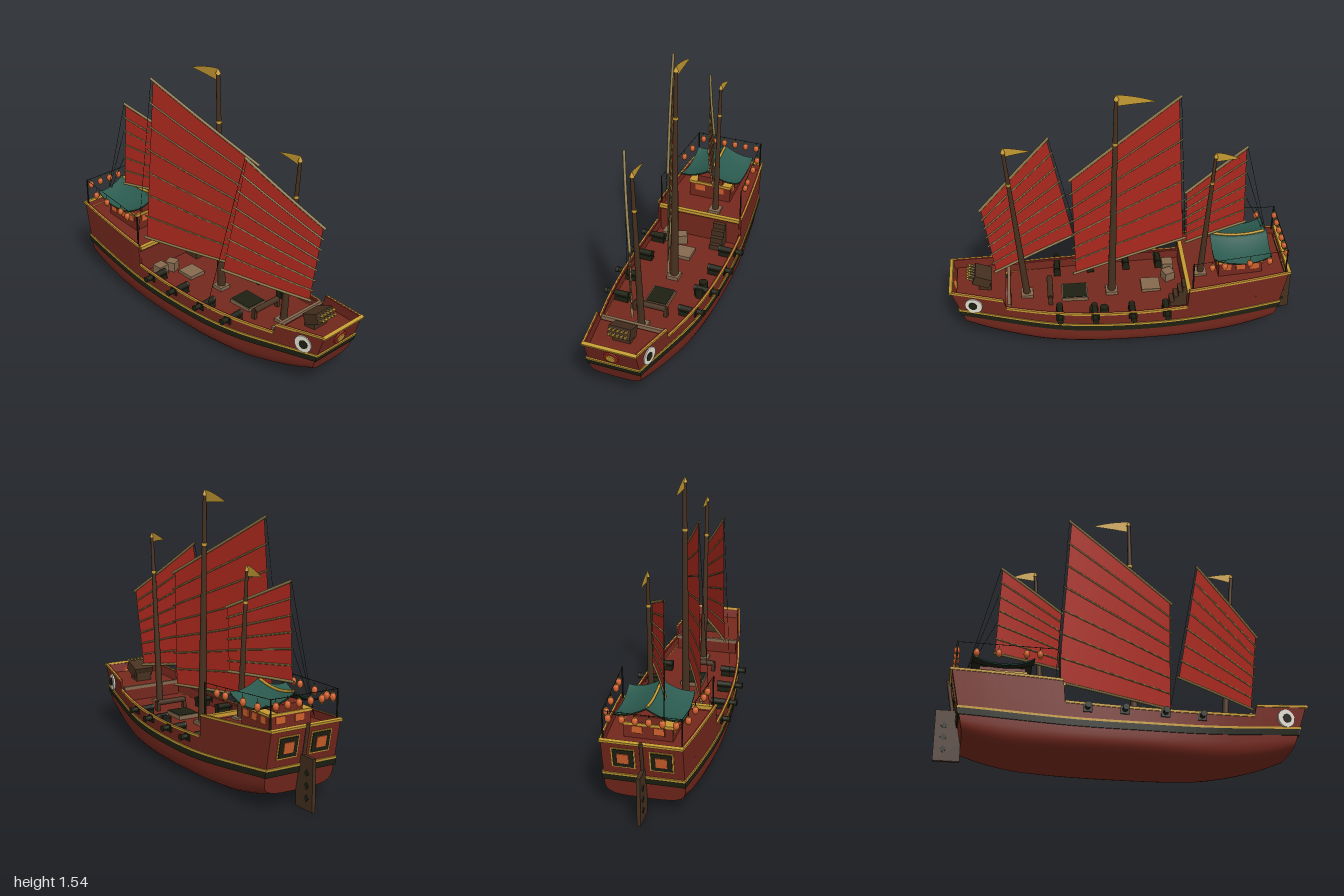
import * as THREE from 'three';

const mat = (name, color) => {
  const m = new THREE.MeshStandardMaterial({ color, side: THREE.DoubleSide });
  m.name = name;
  return m;
};
const M = {
  hull: mat('hullRed', 0x74281d), sail: mat('sailRed', 0xaa281d), gold: mat('gold', 0xc59a32),
  dark: mat('blackPaint', 0x1e2012), wood: mat('darkWood', 0x46301f), teal: mat('tealTile', 0x2b5a4f),
  lamp: mat('lanternOrange', 0xd0602c), cane: mat('bamboo', 0x857446), white: mat('white', 0xe2ded0),
  tan: mat('paleWood', 0x85694f),
};
const V = (x, y, z) => new THREE.Vector3(x, y, z);

// Smooth curve through [x, y] knots
function curve(k) {
  const slope = i => {
    const a = k[Math.max(i - 1, 0)], b = k[Math.min(i + 1, k.length - 1)];
    return (b[1] - a[1]) / (b[0] - a[0]);
  };
  return x => {
    let i = 0;
    while (i < k.length - 2 && x > k[i + 1][0]) i++;
    const h = k[i + 1][0] - k[i][0], t = (x - k[i][0]) / h, s = 1 - t;
    return k[i][1] * (1 + 2 * t) * s * s + slope(i) * h * t * s * s
      + k[i + 1][1] * t * t * (3 - 2 * t) - slope(i + 1) * h * t * t * s;
  };
}
// Hull lines, u = -1 stern to 1 bow
const width = curve([[-1, .213], [-.8, .235], [-.42, .264], [-.1, .272], [.2, .265], [.47, .24], [.71, .2], [.9, .165], [1, .147]]);
const keel = curve([[-1, .08], [-.85, .04], [-.63, .01], [0, 0], [.5, .004], [.7, .03], [.88, .075], [1, .125]]);
const hip = curve([[-1, .185], [-.4, .14], [0, .133], [.45, .145], [1, .205]]);
const sheer = curve([[-1, .3], [-.385, .262], [0, .248], [.35, .252], [.71, .275], [1, .305]]);
const poopTop = u => .382 + (-.385 - u) * .075;
const foreTop = u => .333 + (u - .71) * .12;
const xAt = (u, y) => u > 0 ? u * (.905 + .33 * (y - .12)) : u * (.86 + .2 * (y - .08));
function hullPoint(u, y, off = 0, side = 1) {
  const s = THREE.MathUtils.clamp((y - keel(u)) / (hip(u) - keel(u)), 0, 1);
  return V(xAt(u, y), y, side * (width(u) * (1 - (1 - s) ** 4) ** .25 + off));
}

// Surface over a grid of points
function grid(nu, nv, fn, flat = false) {
  const p = [], idx = [];
  for (let i = 0; i <= nu; i++) for (let j = 0; j <= nv; j++) p.push(...fn(i, j).toArray());
  for (let i = 0; i < nu; i++) for (let j = 0; j < nv; j++) {
    const a = i * (nv + 1) + j, b = a + nv + 1;
    idx.push(a, b, a + 1, b, b + 1, a + 1);
  }
  let g = new THREE.BufferGeometry();
  g.setAttribute('position', new THREE.Float32BufferAttribute(p, 3));
  g.setIndex(idx);
  if (flat) g = g.toNonIndexed();
  g.computeVertexNormals();
  return g;
}

export function createModel() {
  const root = new THREE.Group();
  root.name = 'sailingJunk';
  const add = (name, geo, m, pos = [0, 0, 0], rot = [0, 0, 0], parent = root) => {
    const o = new THREE.Mesh(geo, m);
    o.name = name;
    o.position.set(...pos);
    o.rotation.set(...rot);
    parent.add(o);
    return o;
  };
  const box = (name, size, m, pos, rot, parent) => add(name, new THREE.BoxGeometry(...size), m, pos, rot, parent);
  const cyl = (name, r1, r2, h, m, pos, rot, parent, n = 12) => add(name, new THREE.CylinderGeometry(r1, r2, h, n), m, pos, rot, parent);
  const beam = (name, a, b, ra, rb, m, n = 8) => {
    const o = cyl(name, rb, ra, a.distanceTo(b), m, a.clone().lerp(b, .5).toArray(), undefined, root, n);
    o.quaternion.setFromUnitVectors(V(0, 1, 0), b.clone().sub(a).normalize());
  };
  // Rectangular strake following both hull sides
  const belt = (name, u0, u1, lo, hi, inner, outer, m) => {
    const n = Math.ceil((u1 - u0) * 24);
    for (const side of [1, -1]) add(name, grid(n + 2, 4, (i, j) => {
      const u = u0 + (u1 - u0) * THREE.MathUtils.clamp(i - 1, 0, n) / n;
      if (i === 0 || i === n + 2) return hullPoint(u, (lo(u) + hi(u)) / 2, (inner + outer) / 2, side);
      const k = j % 4;
      return hullPoint(u, k === 1 || k === 2 ? hi(u) : lo(u), k < 2 ? outer : inner, side);
    }, true), m);
  };

  // Hull shell, end transoms and decks
  add('hull', grid(56, 28, (i, j) => {
    const u = i / 28 - 1, k = Math.abs(j - 14), side = j < 14 ? -1 : 1;
    const y = k <= 10 ? keel(u) + (hip(u) - keel(u)) * (k / 10) ** 3 : hip(u) + (sheer(u) - hip(u)) * (k - 10) / 4;
    return hullPoint(u, y, 0, side);
  }), M.hull);
  for (const [name, u, top] of [['sternTransom', -1, poopTop(-1)], ['bowTransom', 1, foreTop(1)]])
    add(name, grid(16, 1, (i, j) => hullPoint(u, keel(u) + (top - keel(u)) * (i / 16) ** 2, 0, j ? 1 : -1)), M.hull);
  const deck = (name, u0, u1, fy) => add(name, grid(24, 1, (i, j) => {
    const u = u0 + (u1 - u0) * i / 24;
    return hullPoint(u, fy(u), -.004, j ? 1 : -1);
  }), M.hull);
  deck('mainDeck', -.4, .72, u => sheer(u) - .06);
  deck('poopDeck', -.99, -.385, u => poopTop(u) - .03);
  deck('foreDeck', .71, .99, u => foreTop(u) - .045);
  box('poopBulkhead', [.012, .17, .5], M.hull, [-.361, .285, 0]);
  box('poopEdgeBeam', [.025, .02, .51], M.gold, [-.355, .372, 0]);
  box('foreBulkhead', [.012, .09, .37], M.hull, [.662, .25, 0]);
  box('foreEdgeBeam', [.018, .02, .38], M.tan, [.664, .293, 0]);

  // Bulwarks, thin gold rails and painted stripes
  const plus = (f, d) => u => f(u) + d;
  for (const [name, u0, u1, top] of [['poop', -1, -.385, poopTop], ['waist', -.385, .71, sheer], ['fore', .71, 1, foreTop]]) {
    belt(name + 'Bulwark', u0, u1, sheer, plus(top, .0125), -.012, 0, M.hull);
    belt(name + 'Rail', u0, u1, top, plus(top, .0135), -.003, .005, M.gold);
  }
  belt('blackStripe', -1, 1, hip, plus(hip, .035), -.004, .006, M.dark);
  belt('goldStripe', -1, 1, plus(hip, .035), plus(hip, .047), -.004, .006, M.gold);
  const frame = (u, tilt) => (y, out = 0) => [xAt(u, y) + u * out, y, 0, tilt];
  const ends = [[-1, frame(-1, .197), poopTop(-1), .213], [1, frame(1, -.32), foreTop(1), .147]];
  for (const [u, at, top, w] of ends) for (const [name, y, h, d, m] of [['endRail', top + .007, .014, .02, M.gold],
    ['endBlackStripe', hip(u) + .018, .037, .014, M.dark], ['endGoldStripe', hip(u) + .041, .012, .014, M.gold]]) {
    const [x, yy, z, t] = at(y);
    box(name, [d, h, 2 * w + .012], m, [x, yy, z], [0, 0, t]);
  }

  // Stern windows and bow emblem
  for (const z of [-.1, .1]) for (const [name, s, d, m] of [['windowBorder', .125, .004, M.gold], ['windowFrame', .11, .008, M.dark], ['windowPane', .06, .012, M.lamp]]) {
    const [x, y, , t] = ends[0][1](.335, d / 2);
    box(name, [d, s, s], m, [x, y, z], [0, 0, t]);
  }
  for (const [name, r, d, m] of [['emblemRing', .042, .008, M.sail], ['emblemDisc', .026, .014, M.gold]]) {
    const [x, y, , t] = ends[1][1](.306, d / 2);
    cyl(name, r, r, d, m, [x, y, 0], [0, 0, t - Math.PI / 2], root, 24);
  }

  // Painted eyes
  for (const side of [1, -1]) {
    const eye = new THREE.Group(), u = .9;
    eye.name = 'eye';
    eye.position.copy(hullPoint(u, .29, .003, side));
    eye.rotation.y = side > 0 ? .22 : Math.PI - .22;
    root.add(eye);
    for (const [name, r, d, m, dx] of [['eyeWhite', .05, .012, M.white, 0], ['eyePupil', .025, .018, M.dark, .004]])
      cyl(name, r, r, d, m, [dx * side, 0, 0], [Math.PI / 2, 0, 0], eye, 24);
  }

  // Cannons, four on each side
  for (const side of [1, -1]) for (const x of [-.23, -.035, .18, .38]) {
    const w = width(x / .93), g = new THREE.Group(), rx = [Math.PI / 2, 0, 0];
    g.name = 'cannon';
    g.position.set(x, .237, 0);
    g.scale.z = side;
    root.add(g);
    box('gunPort', [.048, .042, .008], M.dark, [0, 0, w + .004], undefined, g);
    cyl('barrel', .013, .018, .14, M.dark, [0, .004, w - .02], rx, g);
    cyl('muzzle', .018, .016, .016, M.dark, [0, .004, w + .042], rx, g);
    cyl('breech', .012, .019, .018, M.dark, [0, .004, w - .09], rx, g);
    box('carriage', [.04, .03, .08], M.dark, [0, -.022, w - .055], undefined, g);
  }

  // Rudder with diamond openings
  const blade = new THREE.Shape([[-1, 0], [-.86, 0], [-.86, .1], [-.9, .28], [-1, .28]].map(p => new THREE.Vector2(...p)));
  add('rudder', new THREE.ExtrudeGeometry(blade, { depth: .02, bevelEnabled: false }), M.wood, [0, 0, -.01]);
  for (const y of [.065, .13, .195]) box('rudderDiamond', [.028, .028, .026], M.dark, [-.95, y, 0], [0, 0, Math.PI / 4]);
  beam('rudderStock', V(-.9, .2, 0), V(-.945, .45, 0), .01, .01, M.wood);

  // Masts, pennants and battened sails [TL, TR, BL, BR]; sheets list the battens they lead from
  const rigs = [
    { name: 'main', foot: V(.067, .19, 0), top: V(.035, 1.51, 0), r: .024, flag: [.215, .07, -.055], n: 7, sheets: [0], anchor: V(-.395, .4, .235),
      c: [V(-.32, 1.405, .153), V(.285, 1.05, -.05), V(-.375, .41, .185), V(.275, .385, -.045)] },
    { name: 'fore', foot: V(.562, .2, 0), top: V(.642, 1.215, 0), r: .021, flag: [.155, .06, -.035], n: 7, sheets: [0], anchor: V(.21, .26, .235),
      c: [V(.405, 1.185, .145), V(.785, .87, -.04), V(.275, .48, .185), V(.73, .41, -.02)] },
    { name: 'mizzen', foot: V(-.44, .35, -.072), top: V(-.495, 1.165, -.072), r: .019, flag: [.135, .06, -.05], n: 6, sheets: [0, 2, 4], anchor: V(-.86, .45, .1),
      c: [V(-.69, 1.12, .06), V(-.34, .95, -.09), V(-.71, .6, .07), V(-.35, .6, -.085)] },
  ];
  for (const { name, foot, top, r, flag, n, c, sheets, anchor } of rigs) {
    beam(name + 'Mast', foot, top, r, r * .45, M.wood, 14);
    cyl(name + 'MastCap', 0, r * .65, .035, M.gold, [top.x, top.y + .012, top.z]);
    box(name + 'MastStep', [.07, .022, .07], M.tan, [foot.x, foot.y + .012, foot.z]);
    const band = foot.clone().lerp(top, .79);
    cyl(name + 'MastBand', r * .68, r * .68, .014, M.gold, band.toArray());

    const [len, h, drop] = flag, s = new THREE.Shape();
    s.moveTo(0, .025);
    s.quadraticCurveTo(-len * .45, .018, -len, drop + .028);
    s.quadraticCurveTo(-len * .5, drop + .022, 0, .025 - h);
    add(name + 'Pennant', new THREE.ShapeGeometry(s), M.gold, top.toArray());

    const at = (a, b) => {
      const p = c[0].clone().lerp(c[1], a).lerp(c[2].clone().lerp(c[3], a), b);
      p.z += .004 * Math.sin(Math.PI * THREE.MathUtils.clamp(a, 0, 1));
      return p;
    };
    add(name + 'Sail', grid(12, n, (i, j) => at(i / 12, j / n)), M.sail);
    for (let j = 0; j <= n; j++) {
      const path = new THREE.CatmullRomCurve3([-.025, .25, .5, .75, 1.025].map(a => at(a, j / n)));
      add(name + 'Batten', new THREE.TubeGeometry(path, 12, j % n ? .005 : .008, 6), M.cane);
    }
    for (const j of sheets) beam(name + 'Sheet', at(-.02, j / n), anchor, .0014, .0014, M.dark, 4);
  }

  // Poop cabin with swept tiled roof
  box('cabinWalls', [.25, .12, .26], M.hull, [-.665, .415, 0]);
  box('cabinUpperWalls', [.245, .05, .16], M.hull, [-.665, .49, 0]);
  box('cabinTrim', [.26, .014, .27], M.gold, [-.665, .468, 0]);
  for (const side of [1, -1]) {
    for (const x of [-.745, -.665, -.585]) box('cabinWindow', [.05, .04, .008], M.lamp, [x, .437, side * .132]);
    for (const z of [-.06, .06]) box('cabinEndWindow', [.008, .04, .06], M.lamp, [-.665 + side * .127, .437, z]);
  }
  const roofY = (a, b) => .56 + .025 * a * a - .065 * (1 - (1 - Math.abs(b)) ** 1.7) + .02 * Math.abs(b * a) ** 3;
  for (const [name, d] of [['roofTiles', 0], ['roofLining', -.008]])
    add(name, grid(12, 20, (i, j) => V(-.665 + .165 * (i / 6 - 1), roofY(i / 6 - 1, j / 10 - 1) + d, .18 * (j / 10 - 1))), d ? M.dark : M.teal);
  add('roofRidge', new THREE.TubeGeometry(new THREE.CatmullRomCurve3([-.9, -.4, 0, .4, .9].map(a => V(-.665 + .165 * a, roofY(a, 0) + .004, 0))), 12, .008, 6), M.gold);

  // Lantern lines along the poop sides and stern, on corner posts
  const lantern = (x, y, z) => {
    add('lantern', new THREE.SphereGeometry(.017, 12, 8), M.lamp, [x, y, z]).scale.y = 1.3;
    for (const d of [-.022, .022]) cyl('lanternCap', .007, .007, .005, M.gold, [x, y + d, z], undefined, root, 8);
    beam('lanternCord', V(x, y + .02, z), V(x, y + .045, z), .0015, .0015, M.dark, 4);
  };
  for (const side of [1, -1]) {
    for (const x of [-.81, -.695, -.55, -.48]) lantern(x, .532, side * (.205 + .0875 * (x + .912)));
    beam('lanternPost', V(-.91, .43, side * .205), V(-.912, .595, side * .205), .005, .004, M.dark);
    beam('lanternPost', V(-.375, .38, side * .252), V(-.375, .57, side * .252), .005, .004, M.dark);
    beam('sideLine', V(-.912, .592, side * .205), V(-.375, .567, side * .252), .0018, .0018, M.dark, 4);
  }
  beam('sternLine', V(-.912, .592, -.205), V(-.912, .592, .205), .0018, .0018, M.dark, 4);
  for (let i = 0; i < 6; i++) lantern(-.912, .553, -.175 + .07 * i);

  // Deck gear
  box('grating', [.14, .02, .12], M.dark, [.285, .205, 0]);
  for (const s of [1, -1]) {
    box('gratingCoaming', [.15, .024, .006], M.tan, [.285, .2, s * .063]);
    box('gratingCoaming', [.006, .024, .13], M.tan, [.285 + s * .073, .2, 0]);
    box('windlassPost', [.025, .07, .02], M.wood, [.428, .22, s * .09]);
  }
  cyl('windlass', .017, .017, .18, M.wood, [.428, .245, 0], [Math.PI / 2, 0, 0]);
  box('hatch', [.11, .025, .105], M.tan, [-.165, .2, .025]);
  box('crate', [.06, .06, .06], M.tan, [-.275, .225, .08], [0, .4, 0]);
  box('crate', [.065, .065, .065], M.tan, [-.28, .228, .165]);
  for (let i = 0; i < 4; i++) box('stair', [.024, .036 * (4 - i), .075], M.wood, [-.342 + .024 * i, .195 + .018 * (4 - i), -.135]);
  for (const x of [.125, .185]) cyl('barrel', .026, .026, .06, M.dark, [x, .22, -.2], undefined, root, 14);

  // Rocket rack on the foredeck
  const rack = new THREE.Group();
  rack.name = 'rocketRack';
  rack.position.set(.815, .368, 0);
  rack.rotation.z = .4;
  root.add(rack);
  box('rackBox', [.1, .06, .125], M.wood, [0, 0, 0], undefined, rack);
  for (let i = 0; i < 5; i++) for (const y of [-.012, .016]) {
    cyl('rocket', .006, .006, .04, M.cane, [.062, y, -.046 + .023 * i], [0, 0, Math.PI / 2], rack, 6);
    cyl('rocketTip', 0, .009, .018, M.gold, [.088, y, -.046 + .023 * i], [0, 0, -Math.PI / 2], rack, 6);
  }
  box('rackStand', [.07, .07, .1], M.wood, [.8, .315, 0]);
  return root;
}
